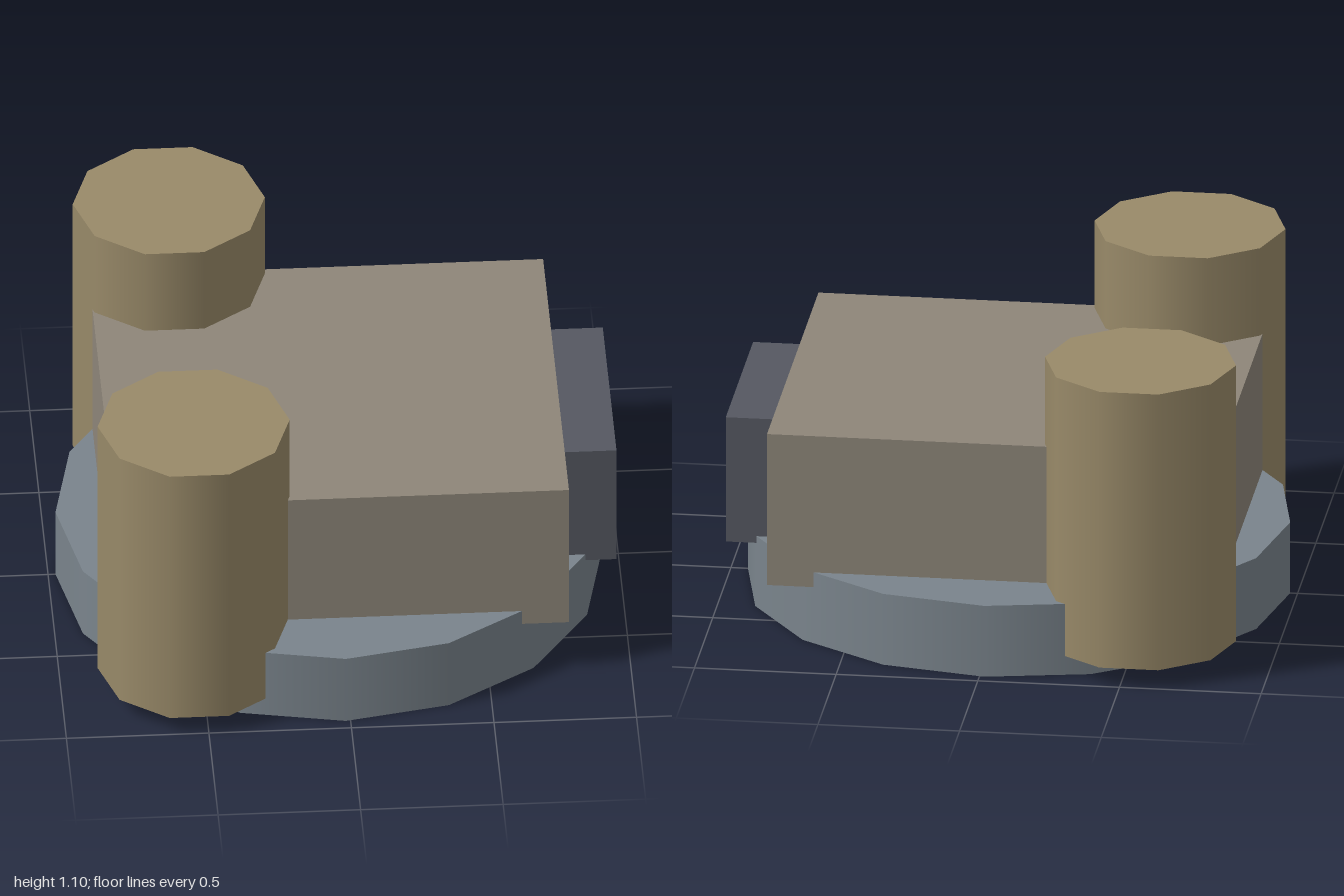
import * as THREE from 'three';

const material = (name, color) => {
  const m = new THREE.MeshStandardMaterial({ color, side: THREE.DoubleSide });
  m.name = name;
  return m;
};

export function createModel() {
  const model = new THREE.Group();
  const slate = material('slate grey', 0x7a848c);
  const tan = material('tan', 0x998a69);
  const stone = material('stone', 0x8e8679);
  const charcoal = material('charcoal', 0x555861);

  const add = (name, geometry, mat, x, y, z) => {
    const mesh = new THREE.Mesh(geometry, mat);
    mesh.name = name;
    mesh.position.set(x, y, z);
    model.add(mesh);
  };

  // Smooth-sided drum, closed on top and hollow below, corners on the x axis
  const addDrum = (name, radius, sides, bottom, top, mat, x, z) => {
    const height = top - bottom;
    add(name + 'Wall', new THREE.CylinderGeometry(radius, radius, height, sides, 1, true, Math.PI / 2),
      mat, x, (top + bottom) / 2, z);
    add(name + 'Top', new THREE.CircleGeometry(radius, sides).rotateX(-Math.PI / 2), mat, x, top, z);
  };

  // Round base
  addDrum('base', 0.957, 16, 0, 0.265, slate, -0.017, 0);

  // Main block, with the front panel set into its +x side
  add('body', new THREE.BoxGeometry(1.594, 0.565, 1.41), stone, -0.015, 0.4925, 0);
  add('panel', new THREE.BoxGeometry(0.37, 0.465, 0.75), charcoal, 0.785, 0.4725, 0);

  // Pair of towers on the -x corners
  for (const side of [1, -1]) {
    addDrum(side > 0 ? 'frontTower' : 'backTower', 0.337, 10, 0.07, 1.102, tan, -0.533, side * 0.679);
  }

  return model;
}
